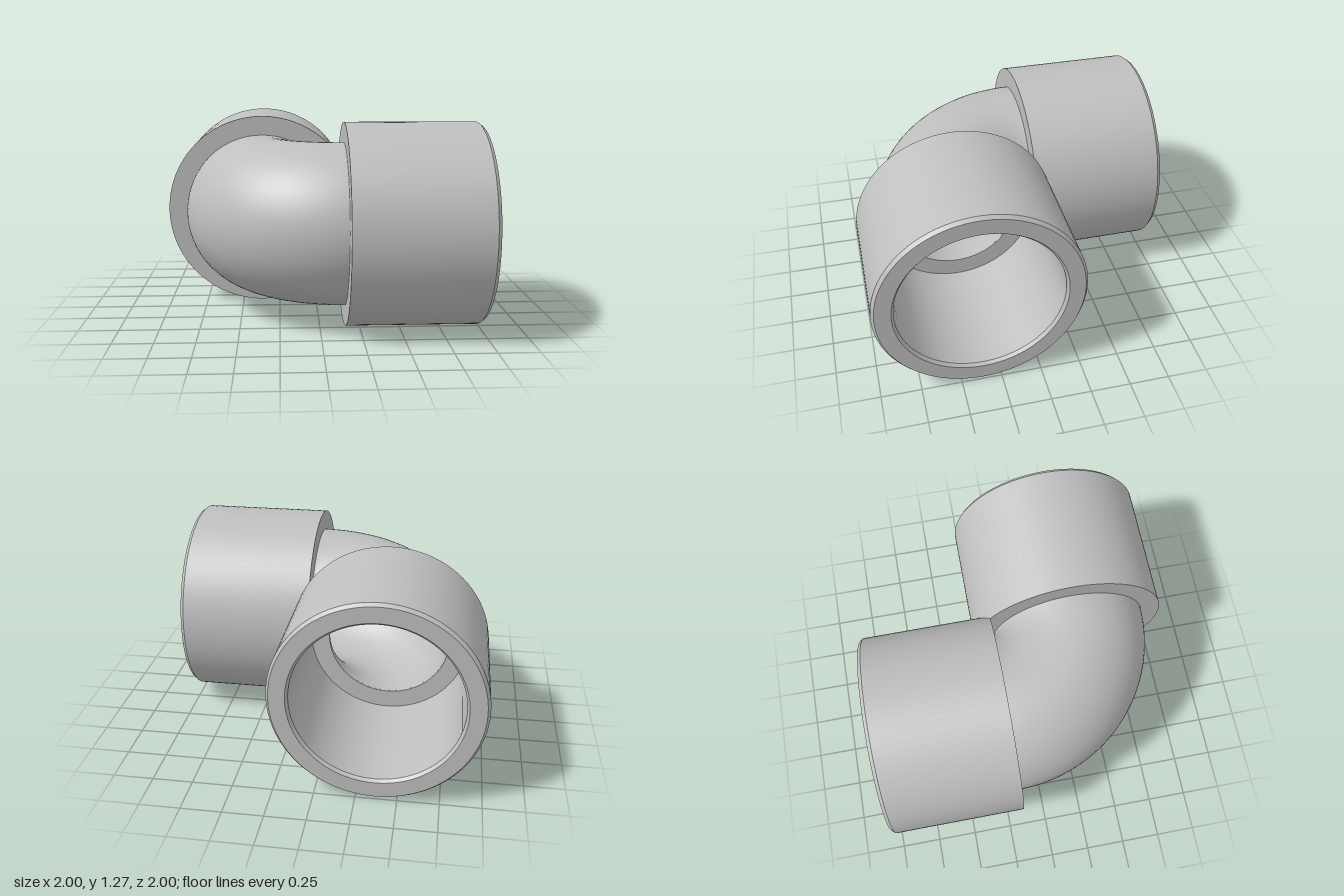
import * as THREE from 'three';
import { toCreasedNormals } from 'three/addons/utils/BufferGeometryUtils.js';

const AXIS_Y = 0.637; // height of both pipe axes
const BEND = 0.518;   // centreline radius of the elbow
const CORNER = 0.155; // bend centre at (CORNER, -CORNER)

// Socket profile along +y: stepped seat inside, small chamfers at the mouth
function socketGeometry() {
  const length = 0.845;
  const profile = [
    [0.39, 0], [0.637, 0], [0.637, length - 0.022], [0.62, length],
    [0.522, length], [0.507, length - 0.02], [0.507, 0.01], [0.39, 0.01], [0.39, 0],
  ].map(([r, y]) => new THREE.Vector2(r, y));
  return toCreasedNormals(new THREE.LatheGeometry(profile, 96), 0.5);
}

// Quarter bend from the back socket round to the left socket
function bendGeometry(radius) {
  const g = new THREE.TorusGeometry(BEND, radius, 72, 48, Math.PI / 2);
  g.rotateZ(Math.PI / 2);
  g.rotateX(Math.PI / 2);
  return g;
}

export function createModel() {
  const group = new THREE.Group();
  group.name = 'pipeElbow';
  const grey = new THREE.MeshStandardMaterial({ color: 0xbfbfbf, side: THREE.DoubleSide });
  grey.name = 'grey';

  const add = (name, geometry, x, z) => {
    const mesh = new THREE.Mesh(geometry, grey);
    mesh.name = name;
    mesh.position.set(x, AXIS_Y, z);
    group.add(mesh);
    return mesh;
  };

  // Two identical sockets at right angles
  const socket = socketGeometry();
  add('leftSocket', socket, CORNER, BEND - CORNER).rotation.z = -Math.PI / 2;
  add('backSocket', socket, CORNER - BEND, -CORNER).rotation.x = -Math.PI / 2;

  // Elbow wall and its bore
  add('elbowOuter', bendGeometry(0.51), CORNER, -CORNER);
  add('elbowBore', bendGeometry(0.39), CORNER, -CORNER);

  return group;
}
